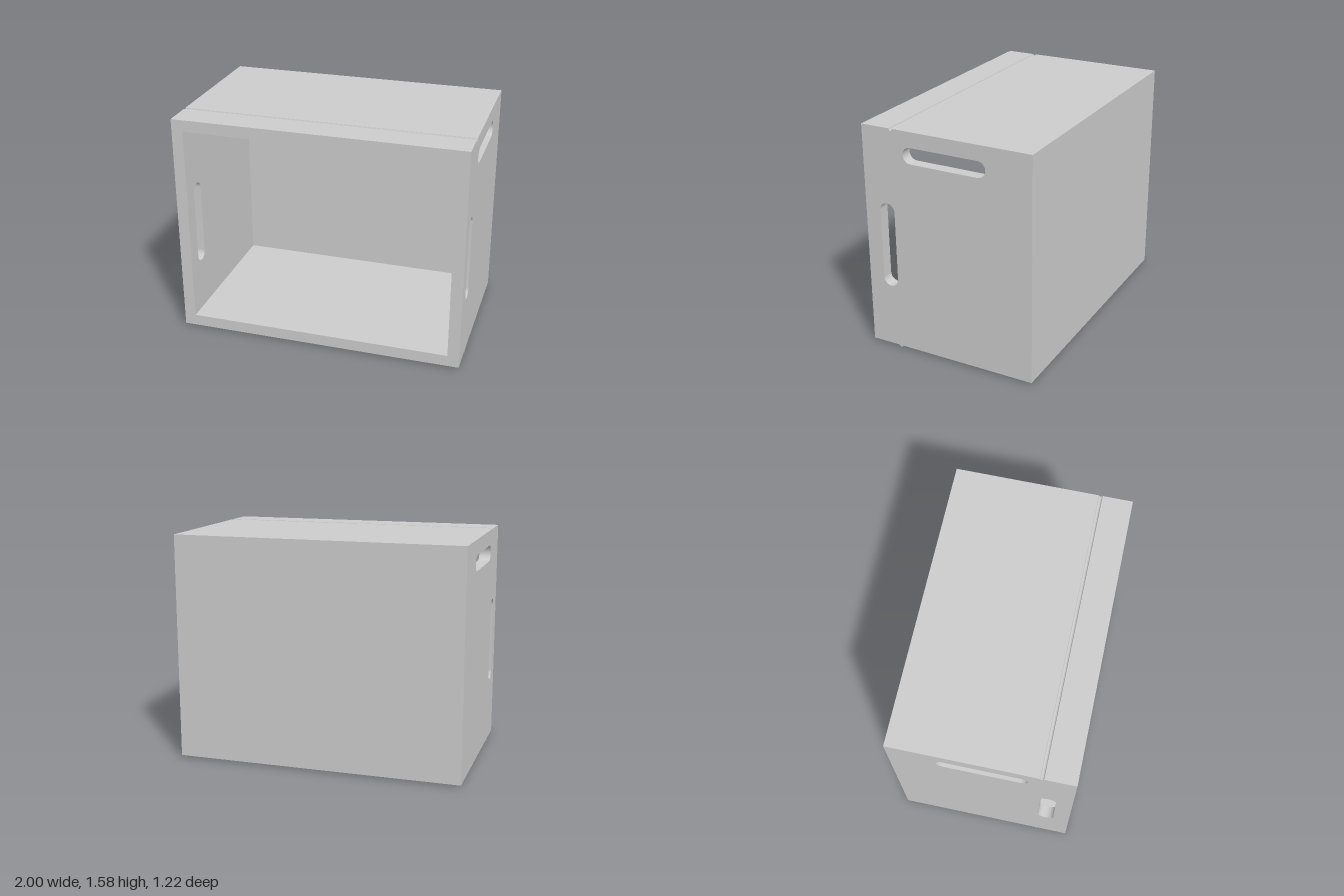
import * as THREE from 'three';
import { toCreasedNormals } from 'three/addons/utils/BufferGeometryUtils.js';

const W = 1, D = 0.61, T = 0.08;         // half width, half depth, wall thickness
const Y0 = 0.013, Y1 = 1.58;             // underside and top of the box
const RIB_Z = 0.39, RIB_R = 0.013;       // stacking rib below, matching groove above

// Profiles are drawn in (-z, y) and extruded along x.
function outerProfile() {
  const s = new THREE.Shape();
  s.moveTo(-D, Y0);
  s.lineTo(-RIB_Z - RIB_R, Y0);
  s.absarc(-RIB_Z, Y0, RIB_R, Math.PI, 2 * Math.PI, false);
  s.lineTo(D, Y0);
  s.lineTo(D, Y1);
  s.lineTo(-RIB_Z + RIB_R, Y1);
  s.absarc(-RIB_Z, Y1, RIB_R, 0, -Math.PI, true);
  s.lineTo(-D, Y1);
  return s;
}

// Rounded slot spanning the given z and y ranges
function slot(z0, z1, y0, y1) {
  const p = new THREE.Path();
  const a = -z1, b = -z0, r = Math.min(b - a, y1 - y0) / 2;
  p.absarc(b - r, y1 - r, r, 0, Math.PI / 2, false);
  p.absarc(a + r, y1 - r, r, Math.PI / 2, Math.PI, false);
  p.absarc(a + r, y0 + r, r, Math.PI, 1.5 * Math.PI, false);
  p.absarc(b - r, y0 + r, r, 1.5 * Math.PI, 2 * Math.PI, false);
  p.closePath();
  return p;
}

function panel(name, shape, x0, x1, material) {
  const g = new THREE.ExtrudeGeometry(shape, { depth: x1 - x0, bevelEnabled: false, curveSegments: 10 });
  g.rotateY(Math.PI / 2);
  g.translate(x0, 0, 0);
  const mesh = new THREE.Mesh(toCreasedNormals(g, 0.6), material);
  mesh.name = name;
  return mesh;
}

export function createModel() {
  const group = new THREE.Group();
  group.name = 'storageBox';
  const material = new THREE.MeshStandardMaterial({ color: 0xcccccc });

  // Top, back and bottom as one C-shaped shell
  const shell = outerProfile();
  shell.lineTo(-D, Y1 - T);
  shell.lineTo(D - T, Y1 - T);
  shell.lineTo(D - T, Y0 + T);
  shell.lineTo(-D, Y0 + T);
  shell.closePath();
  group.add(panel('topBackBottomShell', shell, -W + T, W - T, material));

  // Side walls, each with a carrying slot and an upright front slot
  const side = outerProfile();
  side.closePath();
  side.holes.push(slot(-0.29, 0.305, 1.365, 1.475), slot(0.39, 0.5, 0.46, 1.06));
  group.add(panel('leftSide', side, W - T, W, material));
  group.add(panel('rightSide', side, -W, -W + T, material));

  return group;
}
